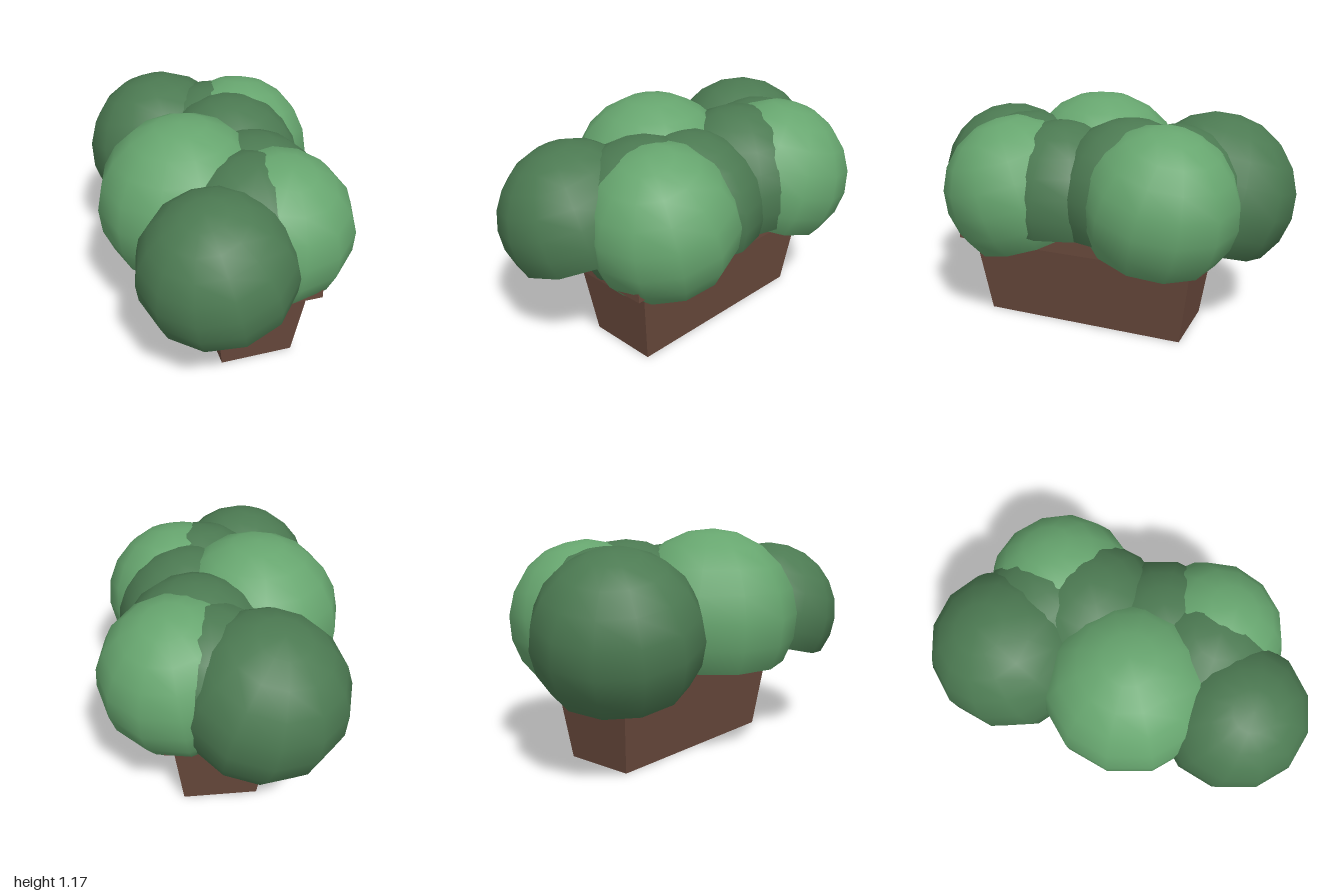
import * as THREE from 'three';

const material = (color, extra = {}) => new THREE.MeshStandardMaterial({ color, ...extra });

// Rounded leaf shell, open underneath, with its opening tilted by lean = [x, z]
function bush(name, mat, [x, y, z], r, cut, lean) {
  const geo = new THREE.SphereGeometry(r, 12, 7, 0, Math.PI * 2, 0, Math.acos(-cut));
  const up = new THREE.Vector3(0, 1, 0);
  const axis = new THREE.Vector3(lean[0], 1, lean[1]).normalize();
  geo.applyQuaternion(new THREE.Quaternion().setFromUnitVectors(up, axis));
  const mesh = new THREE.Mesh(geo, mat);
  mesh.name = name;
  mesh.position.set(x, y, z);
  return mesh;
}

export function createModel() {
  const model = new THREE.Group();
  model.name = 'planterWithBushes';
  const wood = material(0x6a4a3d);
  const light = material(0x67a66f, { side: THREE.DoubleSide });
  const dark = material(0x4c7a52, { side: THREE.DoubleSide });

  // Trough: a box narrowing toward the ground
  const planter = new THREE.Group();
  planter.name = 'planter';
  planter.position.set(0.052, 0, 0.008);
  const bodyGeo = new THREE.BoxGeometry(0.485, 0.43, 1.2).translate(0, 0.215, 0);
  const p = bodyGeo.attributes.position;
  for (let i = 0; i < p.count; i++) {
    if (p.getY(i) < 0.1) {
      p.setX(i, Math.sign(p.getX(i)) * 0.19);
      p.setZ(i, Math.sign(p.getZ(i)) * 0.54);
    }
  }
  bodyGeo.computeVertexNormals();
  const body = new THREE.Mesh(bodyGeo, wood);
  body.name = 'planterBody';

  // Overhanging rim
  const rim = new THREE.Mesh(new THREE.BoxGeometry(0.57, 0.085, 1.34), wood);
  rim.name = 'planterRim';
  rim.position.y = 0.4725;
  planter.add(body, rim);
  model.add(planter);

  // Outer bushes along the left and right of the trough
  model.add(
    bush('backDarkBush', dark, [-0.147, 0.70, -0.585], 0.418, 0.59, [-0.18, -0.24]),
    bush('middleBush', light, [-0.19, 0.72, 0.065], 0.45, 0.5, [-0.03, 0]),
    bush('frontDarkBush', dark, [-0.182, 0.675, 0.61], 0.39, 0.34, [-0.22, 0.2]),
    bush('backLightBush', light, [0.24, 0.72, -0.41], 0.4, 0.54, [0.14, -0.24]),
    bush('frontLightBush', light, [0.185, 0.69, 0.385], 0.4, 0.61, [0.08, 0.28])
  );

  // Darker inner foliage filling the gaps between the light bushes
  model.add(
    bush('backInnerFoliage', dark, [0.1, 0.715, -0.44], 0.38, 0.5, [0, -0.2]),
    bush('backCentreFoliage', dark, [0.14, 0.72, -0.225], 0.395, 0.42, [0, 0]),
    bush('frontCentreFoliage', dark, [0.14, 0.685, 0.145], 0.39, 0.34, [0, 0]),
    bush('frontInnerFoliage', dark, [0.065, 0.69, 0.37], 0.4, 0.68, [0, 0.2])
  );
  return model;
}
